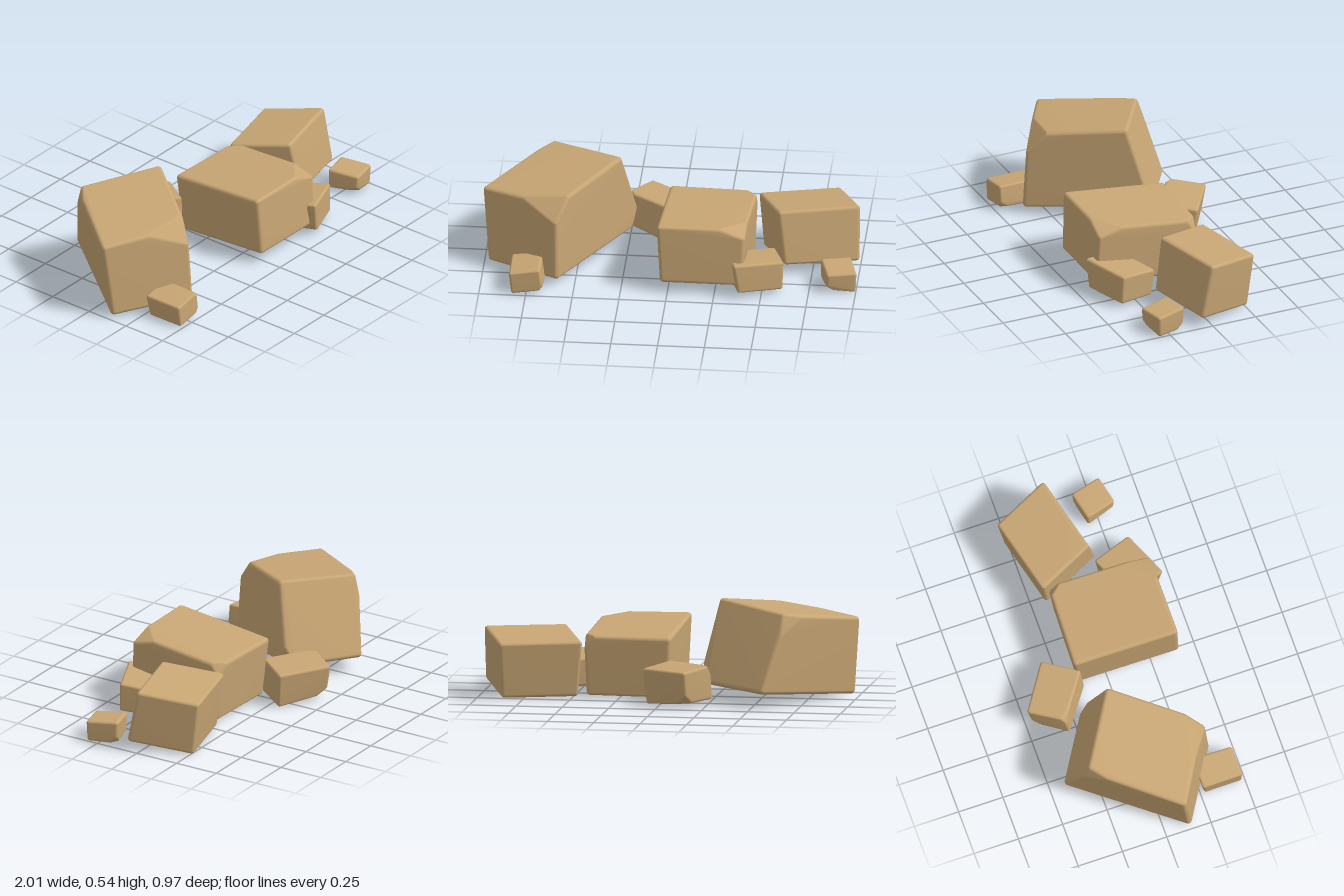
import * as THREE from 'three';
import { mergeVertices } from 'three/addons/utils/BufferGeometryUtils.js';
import { ConvexGeometry } from 'three/addons/geometries/ConvexGeometry.js';

const SIGNS = [-1, 1];

// Corner points of a skewed block. The top is a parallelogram with half edges u and v,
// the bottom repeats it scaled and with its own tilt. Each cut replaces one corner
// by three points at fractions along the edges that meet there.
function blockCorners({ top, u, v, bottom, scale, tilt, cuts = [] }) {
  const corner = (a, b, level) => level > 0
    ? new THREE.Vector3(...top.map((t, i) => t + a * u[i] + b * v[i]))
    : new THREE.Vector3(
      bottom[0] + a * scale[0] * u[0] + b * scale[1] * v[0],
      bottom[1] + a * tilt[0] + b * tilt[1],
      bottom[2] + a * scale[0] * u[2] + b * scale[1] * v[2],
    );
  const points = [];
  for (const a of SIGNS) for (const b of SIGNS) for (const level of SIGNS) {
    const p = corner(a, b, level);
    const cut = cuts.find(({ at }) => at[0] === a && at[1] === b && at[2] === level);
    if (!cut) {
      points.push(p);
      continue;
    }
    const neighbours = [corner(-a, b, level), corner(a, -b, level), corner(a, b, -level)];
    neighbours.forEach((n, i) => points.push(p.clone().lerp(n, cut.by[i])));
  }
  return points;
}

// A worn block: the hull of small balls set just inside each corner
function rockGeometry(points, radius) {
  const centre = new THREE.Vector3();
  points.forEach((p) => centre.addScaledVector(p, 1 / points.length));

  const sphere = new THREE.IcosahedronGeometry(radius, 2);
  sphere.deleteAttribute('normal');
  sphere.deleteAttribute('uv');
  const ball = mergeVertices(sphere).getAttribute('position');
  const cloud = [];
  for (const p of points) {
    const inner = p.clone().addScaledVector(centre.clone().sub(p).normalize(), radius * 1.5);
    for (let i = 0; i < ball.count; i++) cloud.push(new THREE.Vector3().fromBufferAttribute(ball, i).add(inner));
  }

  // Shared vertices give area-weighted normals: flat sides, soft edges
  const hull = new ConvexGeometry(cloud);
  hull.deleteAttribute('normal');
  const geometry = mergeVertices(hull, 1e-5);
  geometry.computeVertexNormals();
  return geometry;
}

export function createModel() {
  const group = new THREE.Group();
  group.name = 'rockCluster';
  const sandstone = new THREE.MeshStandardMaterial({ color: 0xc8a674 });
  sandstone.name = 'sandstone';

  const addRock = (name, radius, shape) => {
    const mesh = new THREE.Mesh(rockGeometry(blockCorners(shape), radius), sandstone);
    mesh.name = name;
    group.add(mesh);
  };

  // Large leaning rock, wider at the foot, with worn corners
  addRock('largeRock', 0.022, {
    top: [-0.648, 0.478, 0.008], u: [0.204, 0.022, 0.126], v: [-0.163, -0.038, 0.225],
    bottom: [-0.582, 0.056, -0.025], scale: [0.93, 1.28], tilt: [0.011, -0.034],
    cuts: [
      { at: [1, 1, 1], by: [0.45, 0.18, 0.25] },
      { at: [-1, -1, 1], by: [0.05, 0.18, 0.25] },
      { at: [1, -1, -1], by: [0.1, 0.1, 0.2] },
    ],
  });

  // Middle rock, resting on its back edge
  addRock('middleRock', 0.02, {
    top: [0.188, 0.348, 0.108], u: [0.235, 0.001, 0.005], v: [-0.012, 0.028, 0.29],
    bottom: [0.19, 0.035, 0.13], scale: [0.93, 0.97], tilt: [0, 0.027],
    cuts: [
      { at: [1, 1, 1], by: [0.28, 0.2, 0.15] },
      { at: [1, -1, 1], by: [0.1, 0.08, 0.2] },
    ],
  });

  // Right rock
  addRock('rightRock', 0.018, {
    top: [0.72, 0.32, -0.098], u: [0.216, -0.002, -0.055], v: [0.065, 0.025, 0.152],
    bottom: [0.734, 0.031, -0.054], scale: [0.92, 1.07], tilt: [-0.003, 0.028],
  });

  // Smaller rocks around them
  addRock('frontRock', 0.014, {
    top: [0.456, 0.169, 0.293], u: [0.131, -0.009, -0.053], v: [0.033, 0.0135, 0.106],
    bottom: [0.466, 0.022, 0.298], scale: [0.9, 0.96], tilt: [-0.007, 0.007],
  });
  addRock('backRock', 0.014, {
    top: [-0.088, 0.196, -0.32], u: [0.126, -0.004, 0.085], v: [-0.06, 0.01, 0.088],
    bottom: [-0.1, 0.015, -0.3], scale: [0.96, 0.98], tilt: [-0.01, 0.006],
    cuts: [
      { at: [-1, 1, 1], by: [0.12, 0.1, 0.25] },
      { at: [-1, -1, -1], by: [0.2, 0.2, 0.25] },
    ],
  });
  addRock('smallRightRock', 0.014, {
    top: [0.905, 0.113, 0.25], u: [0.077, 0, -0.018], v: [0.0235, -0.0055, 0.085],
    bottom: [0.902, 0.011, 0.25], scale: [1, 0.97], tilt: [-0.011, 0.002],
    cuts: [
      { at: [-1, 1, -1], by: [0.2, 0.25, 0.25] },
      { at: [1, -1, -1], by: [0.2, 0.2, 0.3] },
    ],
  });
  addRock('smallLeftRock', 0.013, {
    top: [-0.76, 0.122, 0.368], u: [0.081, 0.012, -0.002], v: [0, 0, 0.113],
    bottom: [-0.745, 0.01, 0.376], scale: [1.03, 0.95], tilt: [0.01, 0],
    cuts: [{ at: [1, 1, -1], by: [0.1, 0.15, 0.2] }],
  });
  return group;
}
